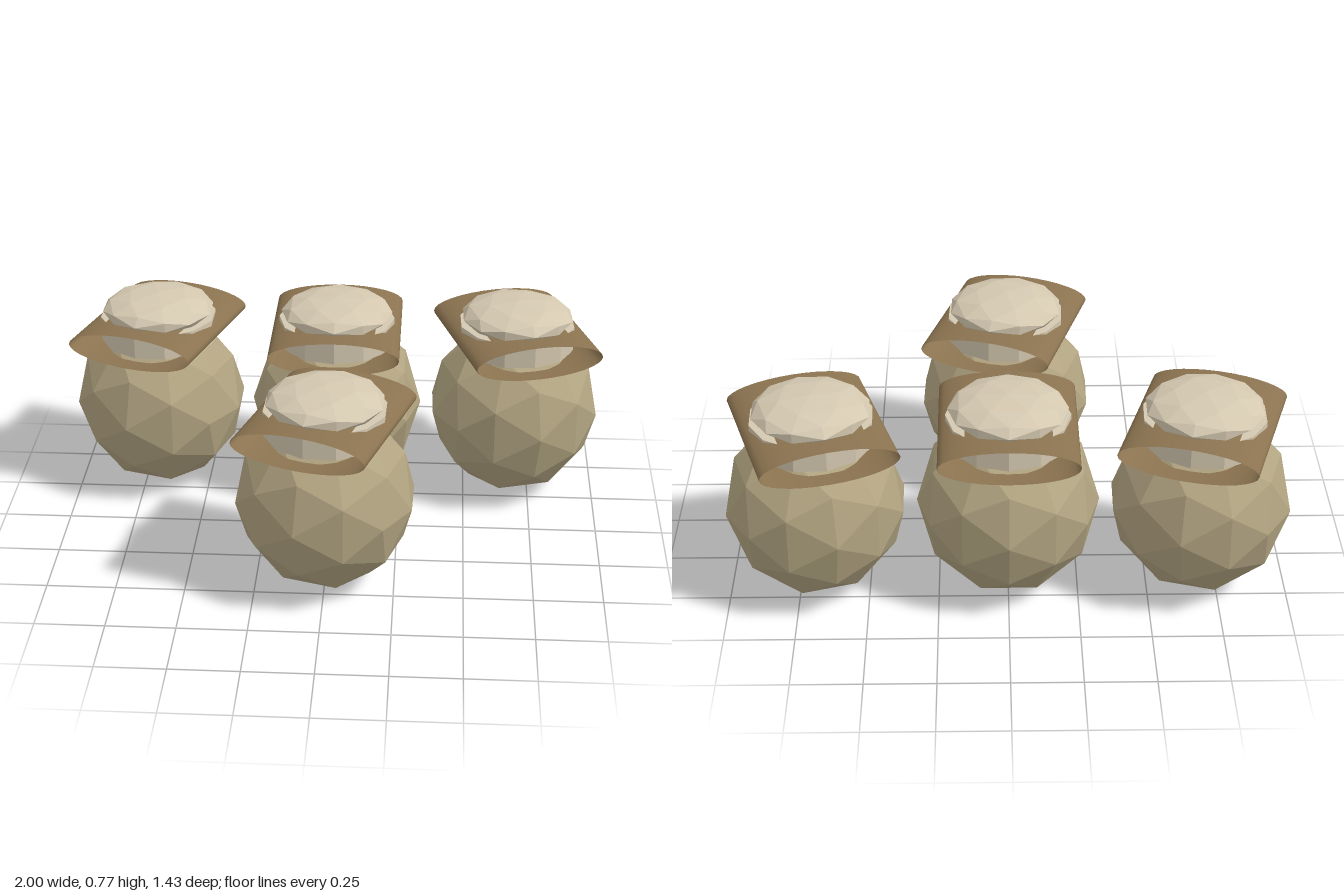
import * as THREE from 'three';

const clay = new THREE.MeshStandardMaterial({ color: 0xb3a582, flatShading: true });
clay.name = 'tan clay';
const cloth = new THREE.MeshStandardMaterial({ color: 0x8b7350, side: THREE.DoubleSide });
cloth.name = 'brown cloth';
const cream = new THREE.MeshStandardMaterial({ color: 0xd4c8b0, flatShading: true });
cream.name = 'pale cream';

function part(name, geometry, material, y) {
  const mesh = new THREE.Mesh(geometry, material);
  mesh.name = name;
  mesh.position.y = y;
  return mesh;
}

// Faceted ellipsoid
const facetedBall = (r, h) => new THREE.IcosahedronGeometry(1, 1).scale(r, h, r);

function createJar() {
  const jar = new THREE.Group();
  jar.name = 'jar';

  // Round faceted pot
  jar.add(part('body', facetedBall(0.325, 0.34), clay, 0.34));

  // Neck passing through the wrap
  jar.add(part('neck', new THREE.CylinderGeometry(0.22, 0.22, 0.095, 12), cream, 0.6425));

  // Flattened open sleeve wrapped round the neck
  const sleeve = new THREE.CylinderGeometry(1, 1, 0.555, 32, 1, true)
    .rotateX(Math.PI / 2)
    .scale(0.245, 0.064, 1);
  jar.add(part('wrap', sleeve, cloth, 0.64));

  // Low domed lid
  jar.add(part('lid', facetedBall(0.212, 0.06), cream, 0.715));
  return jar;
}

export function createModel() {
  const model = new THREE.Group();
  model.name = 'jars';
  // x, z and turn of each jar
  const places = [
    [-0.685, -0.38, -0.3],
    [0, -0.38, 0],
    [0.685, -0.38, 0.3],
    [0, 0.375, -0.3],
  ];
  for (const [x, z, turn] of places) {
    const jar = createJar();
    jar.position.set(x, 0, z);
    jar.rotation.y = turn;
    model.add(jar);
  }
  return model;
}
